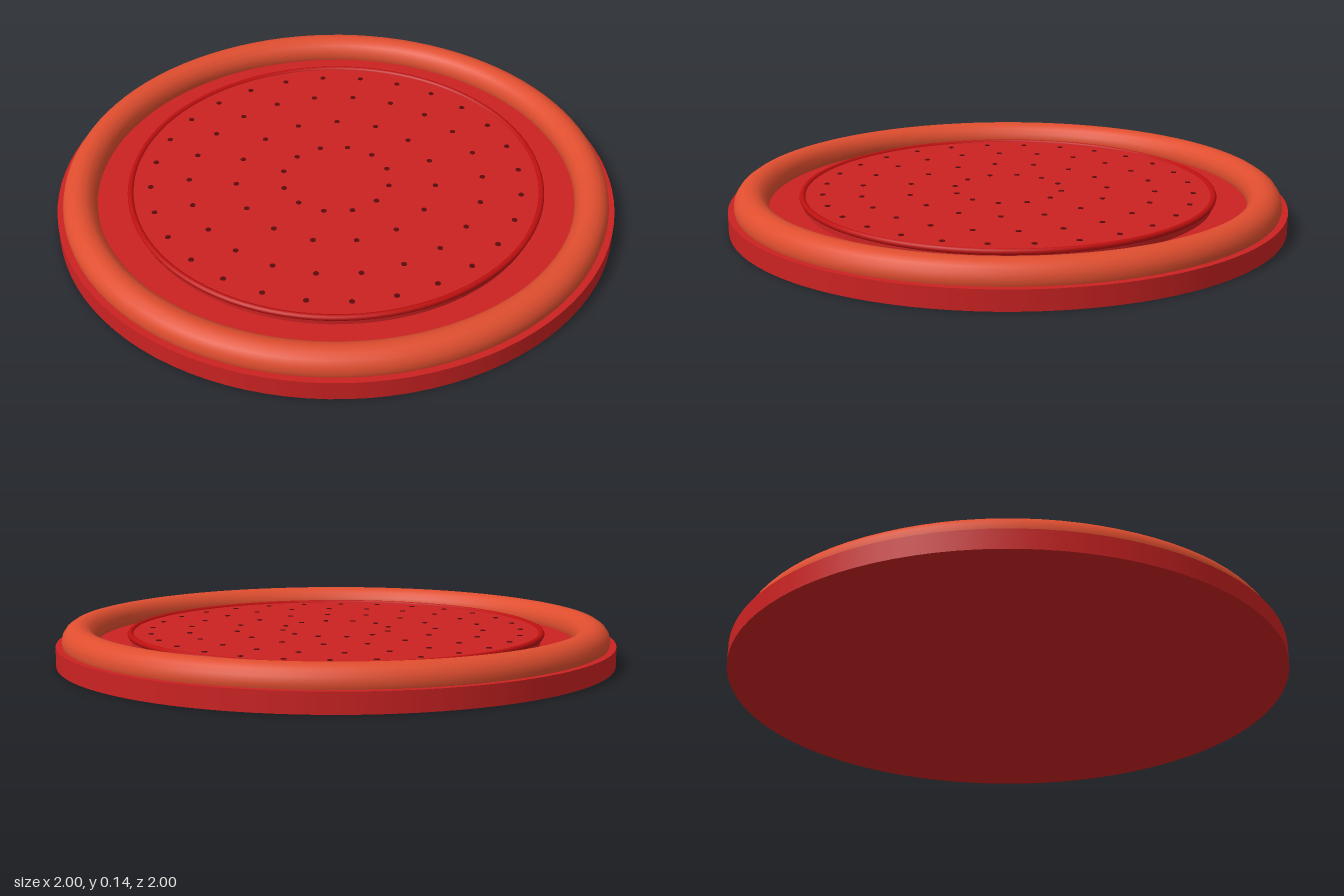
import * as THREE from 'three';

const mat = (name, color) => {
  const m = new THREE.MeshStandardMaterial({ color });
  m.name = name;
  return m;
};

export function createModel() {
  const red = mat('red', 0xcc2222);
  const orange = mat('orange', 0xe04e2f);
  const deepRed = mat('deep red', 0xc01010);
  const darkRed = mat('dark red', 0x5a0a0a);

  const model = new THREE.Group();
  model.name = 'perforatedDisc';

  const add = (name, geometry, material, y, parent = model) => {
    const mesh = new THREE.Mesh(geometry, material);
    mesh.name = name;
    mesh.position.y = y;
    parent.add(mesh);
    return mesh;
  };

  // Flat round base and the raised plate on top of it
  const plateTop = 0.105;
  add('base', new THREE.CylinderGeometry(1, 1, 0.07, 96), red, 0.035);
  add('plate', new THREE.CylinderGeometry(0.735, 0.735, plateTop - 0.07, 96), red, (plateTop + 0.07) / 2);

  // Thick rounded rim and thin trim around the plate
  add('rim', new THREE.TorusGeometry(0.918, 0.061, 16, 96).rotateX(Math.PI / 2), orange, 0.084);
  add('plateTrim', new THREE.TorusGeometry(0.738, 0.011, 8, 96).rotateX(Math.PI / 2), deepRed, plateTop - 0.003);

  // Four concentric rings of small holes: [radius, count]
  const holes = new THREE.Group();
  holes.name = 'holes';
  model.add(holes);
  const holeGeometry = new THREE.CylinderGeometry(0.01, 0.01, 0.004, 10);
  for (const [radius, count] of [[0.195, 12], [0.36, 15], [0.53, 22], [0.667, 28]]) {
    for (let i = 0; i < count; i++) {
      const a = (i / count) * Math.PI * 2;
      const hole = add('hole', holeGeometry, darkRed, plateTop, holes);
      hole.position.x = Math.cos(a) * radius;
      hole.position.z = Math.sin(a) * radius;
    }
  }
  return model;
}
